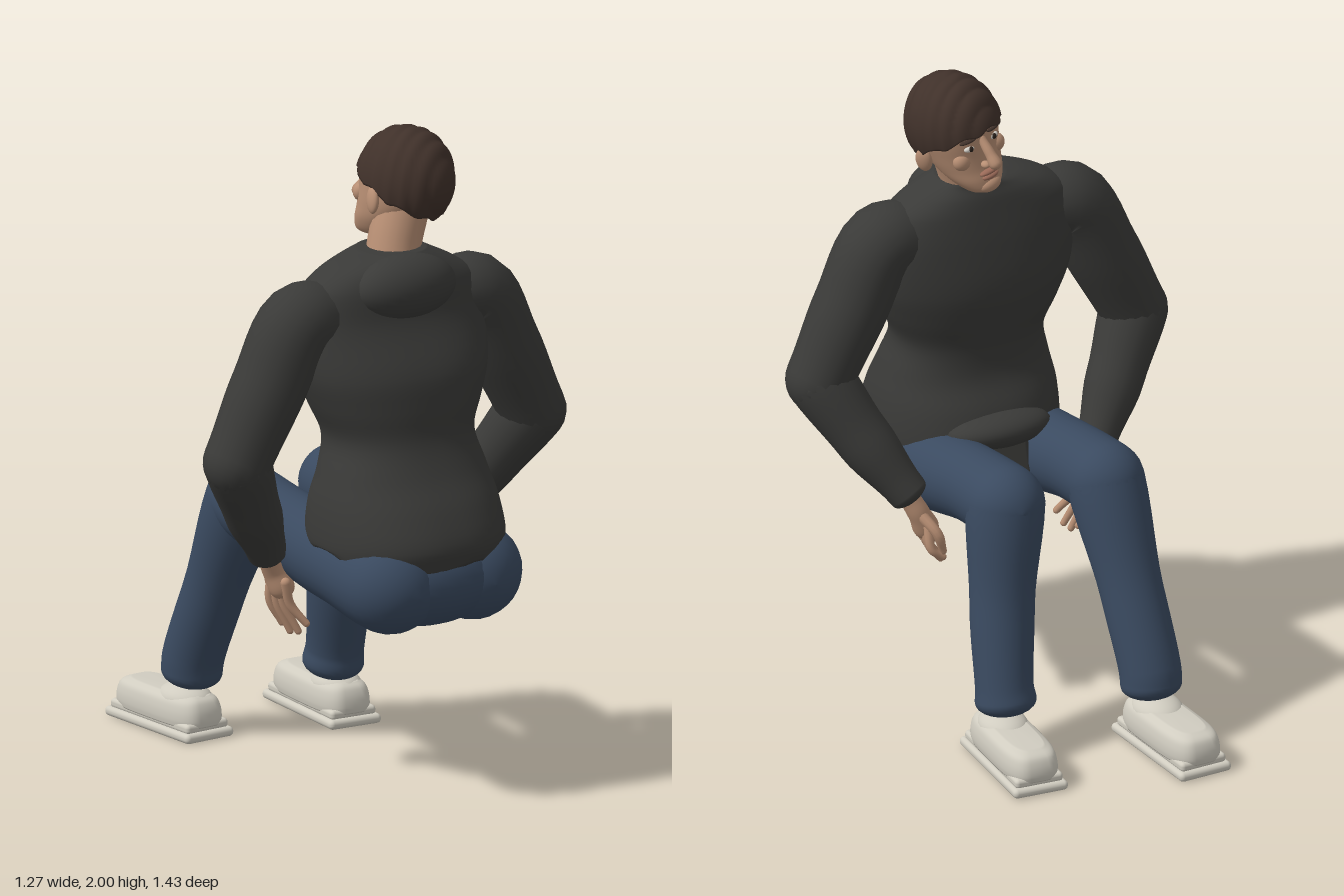
import * as THREE from 'three';
import { RoundedBoxGeometry } from 'three/addons/geometries/RoundedBoxGeometry.js';

const mat = (color) => new THREE.MeshStandardMaterial({ color, side: THREE.DoubleSide });
const M = {
  sweater: mat(0x3a3a38), jeans: mat(0x3a4a60), shoe: mat(0xd0ccc0), skin: mat(0xb88f74),
  hair: mat(0x40312a), white: mat(0xd8d4cc), dark: mat(0x2a211c), lip: mat(0x9a6a58),
};
const V = (x, y, z) => new THREE.Vector3(x, y, z);

function add(parent, name, geo, material, pos = [0, 0, 0], rot = [0, 0, 0]) {
  const m = new THREE.Mesh(geo, material);
  m.name = name;
  m.position.set(...pos);
  m.rotation.set(...rot);
  parent.add(m);
  return m;
}

// Skin over closed rings of equal point count
function skin(rings) {
  const n = rings[0].length, idx = [];
  for (let i = 0; i < rings.length - 1; i++) {
    for (let j = 0; j < n; j++) {
      const a = i * n + j, b = i * n + (j + 1) % n;
      idx.push(a, b, a + n, b, b + n, a + n);
    }
  }
  const geo = new THREE.BufferGeometry().setFromPoints(rings.flat());
  geo.setIndex(idx);
  geo.computeVertexNormals();
  return geo;
}

// Rounded tube of varying radius through [x, y, z, r] points, with domed ends
function limb(pts, { ref = V(0, 0, 1), cap = 1, n = 20, steps = 6 } = {}) {
  const curve = new THREE.CatmullRomCurve3(pts.map((p) => V(p[0], p[1], p[2])));
  const total = (pts.length - 1) * steps, rings = [];
  const ring = (t, r, shift) => {
    const T = curve.getTangent(t), c = curve.getPoint(t).addScaledVector(T, shift);
    const N = ref.clone().addScaledVector(T, -ref.dot(T)).normalize(), B = T.clone().cross(N);
    rings.push(Array.from({ length: n }, (_, j) => {
      const a = j / n * Math.PI * 2;
      return c.clone().addScaledVector(N, r * Math.cos(a)).addScaledVector(B, r * Math.sin(a));
    }));
  };
  const r0 = pts[0][3], r1 = pts[pts.length - 1][3];
  for (let k = 0; k < 7; k++) {
    const a = (0.01 + 0.99 * k / 7) * Math.PI / 2;
    ring(0, r0 * Math.sin(a), -r0 * cap * Math.cos(a));
  }
  for (let i = 0; i <= total; i++) {
    const f = Math.min(i / steps, pts.length - 1 - 1e-6), k = Math.floor(f);
    ring(i / total, THREE.MathUtils.lerp(pts[k][3], pts[k + 1][3], THREE.MathUtils.smoothstep(f - k, 0, 1)), 0);
  }
  for (let k = 6; k >= 0; k--) {
    const a = (0.01 + 0.99 * k / 7) * Math.PI / 2;
    ring(1, r1 * Math.sin(a), r1 * cap * Math.cos(a));
  }
  return skin(rings);
}

// Stack of horizontal superellipses from [y, zFront, zBack, halfWidth, x] rows, bottom to top
function stack(rows, power = 2.3, steps = 5, n = 40, warp = null) {
  const c1 = new THREE.CatmullRomCurve3(rows.map((r) => V(r[0], r[1], r[2])));
  const c2 = new THREE.CatmullRomCurve3(rows.map((r) => V(r[0], r[3], r[4] || 0)));
  const total = (rows.length - 1) * steps, rings = [];
  const make = (t, scale) => {
    const p = c1.getPoint(t), q = c2.getPoint(t);
    rings.push(Array.from({ length: n }, (_, j) => {
      const a = j / n * Math.PI * 2, s = Math.sin(a), c = Math.cos(a), e = 2 / power;
      const v = V(q.z + scale * q.y * Math.sign(s) * Math.abs(s) ** e, p.x,
        (p.y + p.z) / 2 + scale * (p.z - p.y) / 2 * Math.sign(c) * Math.abs(c) ** e);
      if (warp) warp(v, a, t);
      return v;
    }));
  };
  make(0, 0.01);
  for (let i = 0; i <= total; i++) make(i / total, 1);
  make(1, 0.01);
  return skin(rings);
}

const ball = (rx, ry, rz) => new THREE.SphereGeometry(1, 28, 20).scale(rx, ry, rz);

function buildHead() {
  const head = new THREE.Group();
  head.name = 'head';
  // Face tapering from the forehead to the chin, looking along -z
  add(head, 'face', stack([
    [-0.185, -0.135, -0.06, 0.035], [-0.175, -0.15, -0.03, 0.055], [-0.14, -0.15, 0.02, 0.082],
    [-0.1, -0.143, 0.07, 0.098], [-0.05, -0.14, 0.1, 0.11], [0, -0.142, 0.12, 0.118],
    [0.06, -0.14, 0.12, 0.115], [0.11, -0.1, 0.09, 0.08],
  ]), M.skin);
  add(head, 'noseBridge', limb([[0, 0.0, -0.135, 0.013], [0, -0.04, -0.165, 0.016], [0, -0.07, -0.185, 0.02]], { n: 12 }), M.skin);
  add(head, 'upperLip', ball(0.036, 0.009, 0.014), M.lip, [0, -0.112, -0.147]);
  add(head, 'lowerLip', ball(0.03, 0.01, 0.014), M.lip, [0, -0.128, -0.147]);
  add(head, 'chin', ball(0.04, 0.025, 0.025), M.skin, [0, -0.162, -0.135]);
  for (const s of [1, -1]) {
    const side = s > 0 ? 'left' : 'right';
    add(head, side + 'Nostril', ball(0.014, 0.011, 0.016), M.skin, [s * 0.018, -0.075, -0.16]);
    add(head, side + 'Eye', ball(0.019, 0.011, 0.012), M.white, [s * 0.045, -0.015, -0.129]);
    add(head, side + 'Iris', ball(0.008, 0.009, 0.006), M.dark, [s * 0.045, -0.015, -0.138]);
    add(head, side + 'Brow', ball(0.03, 0.007, 0.012), M.hair, [s * 0.046, 0.014, -0.133], [0, s * -0.25, s * -0.1]);
    add(head, side + 'Cheek', ball(0.03, 0.03, 0.025), M.skin, [s * 0.065, -0.06, -0.108]);
    add(head, side + 'Ear', ball(0.016, 0.042, 0.028), M.skin, [s * 0.127, -0.065, 0.0], [-0.2, s * 0.35, 0]);
  }
  // Hair cap with a high front hairline, low nape and combed ridges
  const hair = new THREE.SphereGeometry(1, 72, 48), p = hair.attributes.position;
  for (let i = 0; i < p.count; i++) {
    const d = V(p.getX(i), p.getY(i), p.getZ(i));
    const theta = Math.acos(THREE.MathUtils.clamp(d.y, -1, 1));
    const back = Math.atan2(d.x, d.z);
    const end = 1.83 - 0.43 * Math.cos(back + Math.PI) + 0.04 * Math.sin(back * 9);
    const t = theta / Math.PI * end * 1.08;
    const tuck = t > end ? 0.86 : 1;
    const s = theta > 1e-4 && theta < 3.141 ? Math.sin(Math.min(t, end)) / Math.sin(theta) : 0;
    d.set(d.x * s, Math.cos(Math.min(t, end)), d.z * s);
    if (theta > 3.141) d.set(0, Math.cos(end), 0);
    const ridge = 1 + 0.035 * Math.abs(Math.sin(d.z * 11 + d.x * 2.5)) * Math.min(1, theta * 2);
    d.multiplyScalar(tuck * ridge);
    p.setXYZ(i, d.x * 0.136, d.y * 0.16, d.z * 0.157);
  }
  hair.computeVertexNormals();
  add(head, 'hair', hair, M.hair);
  head.position.set(0.1, 1.835, 0.27);
  head.rotation.set(0, 0.2, -0.2);
  return head;
}

function buildArm(s, wristZ, tipY, tipZ) {
  const arm = new THREE.Group();
  arm.name = s > 0 ? 'leftArm' : 'rightArm';
  const elbow = [s * 0.53, 1.06, 0.31, 0.103];
  add(arm, 'upperSleeve', limb([[s * 0.18, 1.46, 0.32, 0.1], [s * 0.315, 1.465, 0.32, 0.117], [s * 0.42, 1.28, 0.315, 0.115], elbow]), M.sweater);
  add(arm, 'lowerSleeve', limb([elbow, [s * 0.43, 0.88, (0.31 + wristZ) / 2, 0.088], [s * 0.33, 0.72, wristZ, 0.062]], { cap: 0.5 }), M.sweater);
  add(arm, 'palm', limb([[s * 0.325, 0.7, wristZ, 0.032], [s * 0.3, 0.65, wristZ - 0.01, 0.034], [s * 0.275, 0.6, wristZ - 0.005, 0.04]]).scale(1, 1, 1), M.skin);
  // Four hanging fingers and a thumb
  for (let i = 0; i < 4; i++) {
    const z = wristZ - 0.045 + i * 0.026, drop = [0.02, 0, 0.005, 0.035][i];
    const end = tipZ + i * 0.032;
    add(arm, 'finger', limb([[s * 0.285, 0.62, z, 0.016], [s * (0.285 - i * 0.006), 0.55, (z * 2 + end) / 3 - 0.01, 0.014],
      [s * (0.25 - i * 0.008), tipY + drop, end, 0.011]], { n: 10 }), M.skin);
  }
  add(arm, 'thumb', limb([[s * 0.3, 0.65, wristZ - 0.03, 0.018], [s * 0.27, 0.6, wristZ - 0.075, 0.016], [s * 0.25, 0.54, wristZ - 0.07, 0.012]], { n: 10 }), M.skin);
  return arm;
}

function buildLeg(s, knee, shin, ankle, footX, footZ) {
  const leg = new THREE.Group(), ref = V(1, 0, 0);
  leg.name = s > 0 ? 'leftLeg' : 'rightLeg';
  add(leg, 'thigh', limb([[s * 0.148, 0.68, 0.56, 0.151], [s * 0.165, 0.7, 0.32, 0.13], [knee[0], 0.755, 0, 0.117], knee], { ref, n: 28 }), M.jeans);
  add(leg, 'shin', limb([knee, shin, ankle, [ankle[0], ankle[1] - 0.05, ankle[2] - 0.01, 0.093]], { ref, cap: 0.5, n: 28 }), M.jeans);
  const shoe = new THREE.Group();
  shoe.name = 'shoe';
  add(shoe, 'sole', new RoundedBoxGeometry(0.178, 0.03, 0.42, 4, 0.014), M.shoe, [0, 0.015, 0]);
  add(shoe, 'midsole', new RoundedBoxGeometry(0.155, 0.03, 0.39, 3, 0.012), M.shoe, [0, 0.04, 0]);
  add(shoe, 'upper', stack([
    [0.04, -0.198, 0.198, 0.082], [0.06, -0.202, 0.2, 0.085], [0.09, -0.198, 0.196, 0.083],
    [0.115, -0.185, 0.185, 0.074], [0.13, -0.15, 0.165, 0.05],
  ], 3.6), M.shoe);
  add(shoe, 'tongue', ball(0.075, 0.05, 0.1), M.shoe, [0, 0.105, 0.08]);
  shoe.position.set(footX, 0, footZ);
  shoe.rotation.y = -s * 0.06;
  leg.add(shoe);
  return leg;
}

export function createModel() {
  const model = new THREE.Group();
  model.name = 'seatedFigure';

  // Sweater with an uneven hem that rises toward the lap
  add(model, 'sweaterBody', stack([
    [0.735, 0.14, 0.7, 0.282], [0.8, 0.13, 0.712, 0.288], [0.9, 0.15, 0.672, 0.28], [1.0, 0.19, 0.61, 0.257],
    [1.1, 0.19, 0.568, 0.235], [1.2, 0.165, 0.56, 0.275], [1.3, 0.15, 0.545, 0.31], [1.45, 0.163, 0.475, 0.32],
    [1.55, 0.18, 0.455, 0.29], [1.6, 0.19, 0.44, 0.22], [1.63, 0.2, 0.42, 0.15, 0.01], [1.645, 0.2, 0.4, 0.1, 0.03],
  ], 2.3, 5, 64, (v, a, t) => {
    if (t < 0.06) v.y += (1 - t / 0.06) * (0.012 * Math.sin(a * 7) + 0.05 * (1 - Math.cos(a)) / 2);
  }), M.sweater);
  add(model, 'hood', ball(0.175, 0.1, 0.1), M.sweater, [0, 1.55, 0.415], [0.15, 0, 0]);
  add(model, 'frontHem', ball(0.17, 0.06, 0.1), M.sweater, [0, 0.84, 0.17], [0.2, 0, 0]);
  add(model, 'hemFlap', new RoundedBoxGeometry(0.15, 0.16, 0.05, 3, 0.02), M.sweater, [0, 0.77, 0.12], [0.25, 0, 0]);

  // Neck and head
  add(model, 'neck', limb([[0.03, 1.57, 0.3, 0.086], [0.05, 1.66, 0.29, 0.082], [0.085, 1.76, 0.28, 0.082]], { cap: 0.4 }), M.skin);
  model.add(buildHead());

  model.add(buildArm(1, 0.115, 0.5, 0.045), buildArm(-1, 0.17, 0.455, 0.13));

  // Jeans and shoes
  add(model, 'seatOfJeans', ball(0.27, 0.155, 0.185), M.jeans, [0, 0.685, 0.53]);
  add(model, 'crotch', ball(0.2, 0.11, 0.2), M.jeans, [0, 0.69, 0.32]);
  model.add(
    buildLeg(1, [0.155, 0.775, -0.178, 0.12], [0.19, 0.46, -0.225, 0.098], [0.213, 0.23, -0.283, 0.088], 0.232, -0.383),
    buildLeg(-1, [-0.185, 0.775, -0.172, 0.119], [-0.203, 0.46, -0.31, 0.096], [-0.217, 0.24, -0.4, 0.094], -0.238, -0.5),
  );
  return model;
}
